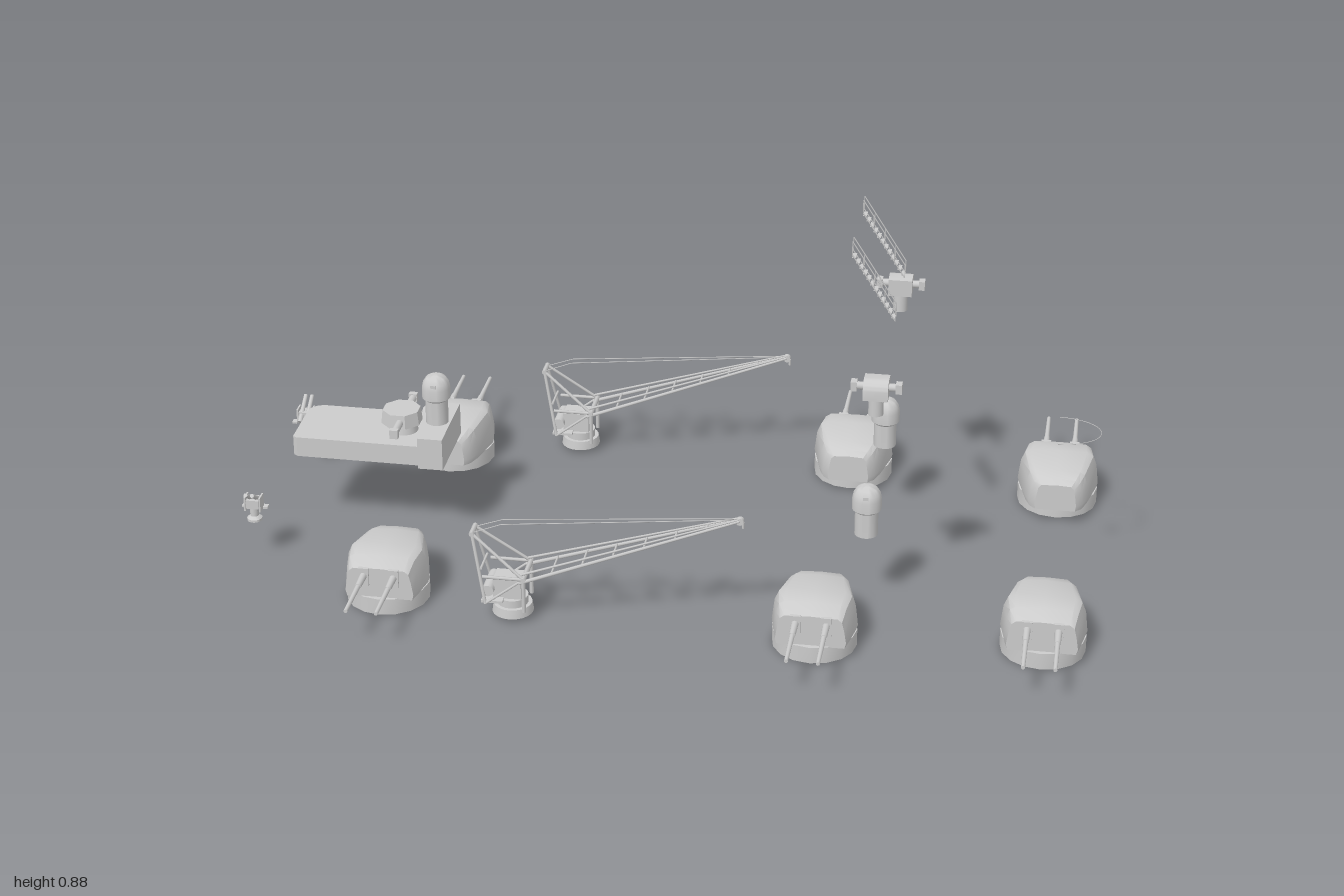
import * as THREE from 'three';
import { mergeGeometries, toCreasedNormals } from 'three/addons/utils/BufferGeometryUtils.js';

const mat = new THREE.MeshStandardMaterial({ color: 0xcccccc });
const matDouble = new THREE.MeshStandardMaterial({ color: 0xcccccc, side: THREE.DoubleSide });

function add(parent, name, geo, x = 0, y = 0, z = 0, material = mat) {
  const m = new THREE.Mesh(geo, material);
  m.name = name;
  m.position.set(x, y, z);
  parent.add(m);
  return m;
}
function group(parent, name, x, y, z) {
  const g = new THREE.Group();
  g.name = name;
  g.position.set(x, y, z);
  parent.add(g);
  return g;
}
const box = (w, h, d) => new THREE.BoxGeometry(w, h, d);
const cyl = (rt, rb, h, n = 20) => new THREE.CylinderGeometry(rt, rb, h, n);
const lathe = (pts) => toCreasedNormals(
  new THREE.LatheGeometry(pts.map(p => new THREE.Vector2(...p)), 24), 0.7);

// Round bar between two points
function rod(a, b, r, r2 = r, n = 6) {
  const A = new THREE.Vector3(...a), B = new THREE.Vector3(...b);
  const d = B.clone().sub(A);
  const g = cyl(r2, r, d.length(), n);
  g.applyQuaternion(new THREE.Quaternion().setFromUnitVectors(new THREE.Vector3(0, 1, 0), d.normalize()));
  return g.translate(...A.add(B).multiplyScalar(0.5).toArray());
}

// Skin over equal-sized rings of points ordered from back to front
function loft(rings) {
  const n = rings[0].length, index = [];
  rings.forEach((ring, i) => {
    if (!i) return;
    for (let j = 0; j < n; j++) {
      const k = (j + 1) % n, a = (i - 1) * n + j, b = (i - 1) * n + k, c = i * n + k, d = i * n + j;
      index.push(a, b, d, b, c, d);
    }
  });
  const last = (rings.length - 1) * n;
  for (let j = 1; j < n - 1; j++) index.push(0, j + 1, j, last, last + j, last + j + 1);
  const g = new THREE.BufferGeometry();
  g.setAttribute('position', new THREE.Float32BufferAttribute(rings.flat(2), 3));
  g.setIndex(index);
  return toCreasedNormals(g, 0.6);
}

// Twin gun turret, guns towards +z
function turret(parent, x, z, dir) {
  const t = group(parent, 'turret', x, 0, z);
  t.rotation.y = dir > 0 ? 0 : Math.PI;
  add(t, 'turretRing', toCreasedNormals(cyl(0.097, 0.097, 0.04, 16), 0.5), 0, 0.02, 0);
  // z, half width, roof half width, roof height
  const stations = [[-0.13, 0.05, 0.036, 0.106], [-0.115, 0.065, 0.045, 0.116], [-0.085, 0.077, 0.055, 0.125],
    [0, 0.098, 0.068, 0.134], [0.05, 0.088, 0.064, 0.131], [0.085, 0.08, 0.06, 0.114]];
  add(t, 'turretHouse', loft(stations.map(([s, w, r, h]) => {
    const half = [[w * 0.96, 0.038], [w, 0.052], [w * 0.94, h - 0.032], [(w + r) / 2, h - 0.01], [r, h - 0.002]];
    return [...half, [0, h], ...half.map(([a, b]) => [-a, b]).reverse()].map(([a, b]) => [a, b, s]);
  })));
  for (const s of [-1, 1]) {
    add(t, 'gunPort', box(0.024, 0.045, 0.02), s * 0.035, 0.092, 0.08);
    add(t, 'gunSleeve', rod([0, 0, 0], [0, 0, 0.07], 0.009, 0.007, 12), s * 0.035, 0.095, 0.07);
    add(t, 'gunBarrel', rod([0, 0, 0], [0, 0, 0.115], 0.006, 0.0045, 12), s * 0.035, 0.095, 0.135);
  }
}

// Lattice crane, boom towards +x
function crane(parent, x, z) {
  const c = group(parent, 'crane', x, 0, z);
  add(c, 'craneBase', toCreasedNormals(cyl(0.045, 0.048, 0.022, 20), 0.6), 0, 0.02, 0);
  add(c, 'craneTable', cyl(0.036, 0.036, 0.02, 20), 0, 0.04, 0);
  add(c, 'craneCab', box(0.065, 0.055, 0.05), -0.008, 0.072, 0);
  add(c, 'winchDrum', cyl(0.014, 0.014, 0.08, 14).rotateX(Math.PI / 2), -0.05, 0.075, 0);
  add(c, 'rearPlatform', box(0.05, 0.006, 0.09), -0.04, 0.05, 0);
  const frame = [], boom = [], cables = [];
  for (const s of [-1, 1]) {
    frame.push(rod([-0.088, 0.21, s * 0.018], [0.035, 0.115, s * 0.045], 0.004));
    frame.push(rod([-0.088, 0.21, s * 0.018], [-0.055, 0.045, s * 0.045], 0.004));
    frame.push(rod([0.035, 0.115, s * 0.045], [0.035, 0.03, s * 0.045], 0.005));
    frame.push(rod([-0.06, 0.115, s * 0.045], [0.035, 0.115, s * 0.045], 0.004));
    frame.push(rod([0.035, 0.115, s * 0.045], [-0.055, 0.045, s * 0.045], 0.003));
    boom.push(rod([0.025, 0.105, s * 0.045], [0.525, 0.288, s * 0.006], 0.0045, 0.003));
    boom.push(rod([0.03, 0.125, s * 0.04], [0.525, 0.292, s * 0.005], 0.003, 0.002));
    cables.push(rod([-0.088, 0.21, s * 0.015], [-0.02, 0.236, s * 0.012], 0.001));
    cables.push(rod([-0.02, 0.236, s * 0.012], [0.525, 0.29, s * 0.003], 0.001));
  }
  frame.push(rod([-0.088, 0.21, -0.024], [-0.088, 0.21, 0.024], 0.006));
  frame.push(rod([-0.065, 0.13, -0.035], [-0.065, 0.13, 0.035], 0.003));
  frame.push(rod([0.035, 0.115, -0.05], [0.035, 0.115, 0.05], 0.006));
  // Cross braces narrowing to the boom tip
  for (let i = 0; i < 7; i++) {
    const f = i / 7, w = 0.044 - 0.038 * f, X = 0.03 + 0.49 * f, Y = 0.11 + 0.18 * f;
    boom.push(rod([X, Y, -w], [X, Y, w], 0.0025));
  }
  add(c, 'aFrame', mergeGeometries(frame));
  add(c, 'boom', mergeGeometries(boom));
  add(c, 'cables', mergeGeometries(cables));
  add(c, 'tipPulley', cyl(0.009, 0.009, 0.012, 12).rotateX(Math.PI / 2), 0.525, 0.286, 0);
  add(c, 'hook', rod([0.532, 0.284, 0], [0.532, 0.268, 0], 0.003));
}

// Round column with a domed head
function domedPost(parent, x, y, z) {
  const p = group(parent, 'domedPost', x, y, z);
  add(p, 'domeColumn', lathe([[0, 0], [0.027, 0], [0.027, 0.06], [0.034, 0.066], [0.034, 0.092],
    [0.031, 0.106], [0.023, 0.118], [0.012, 0.124], [0, 0.126]]));
  add(p, 'domeHatch', box(0.012, 0.008, 0.008), 0, 0.105, z < 0 ? -0.029 : 0.029);
}

// Range finder with cross arms
function rangefinder(parent, x, y, z, dir) {
  const r = group(parent, 'rangefinder', x, y, z);
  r.rotation.y = dir > 0 ? 0 : Math.PI;
  add(r, 'finderPost', cyl(0.017, 0.017, 0.055), 0, 0.0275, 0);
  const side = new THREE.Shape();
  side.moveTo(-0.026, 0.045);
  side.lineTo(0.03, 0.045);
  side.lineTo(0.03, 0.068);
  side.quadraticCurveTo(0.026, 0.088, 0.004, 0.09);
  side.lineTo(-0.026, 0.086);
  const head = new THREE.ExtrudeGeometry(side, { depth: 0.056, bevelEnabled: false, curveSegments: 8 });
  add(r, 'finderHead', toCreasedNormals(head.translate(0, 0, -0.028).rotateY(-Math.PI / 2), 0.6));
  add(r, 'finderArm', rod([-0.056, 0.068, 0], [0.056, 0.068, 0], 0.009, 0.009, 14));
  for (const s of [-1, 1]) add(r, 'finderLens', box(0.014, 0.022, 0.022), s * 0.05, 0.068, 0);
}

// Light gun on a pedestal, barrels up and outwards
function lightGun(parent, x, z, dir) {
  const g = group(parent, 'lightGun', x, 0.1, z);
  g.rotation.y = dir > 0 ? 0 : Math.PI;
  add(g, 'gunPedestal', lathe([[0, 0], [0.018, 0], [0.018, 0.006], [0.01, 0.012], [0.01, 0.04], [0, 0.04]]));
  add(g, 'gunCradle', box(0.03, 0.022, 0.03), 0, 0.046, 0);
  for (const s of [-1, 1]) {
    add(g, 'gunShield', box(0.004, 0.036, 0.03), s * 0.018, 0.046, 0);
    add(g, 'lightBarrel', rod([s * 0.008, 0.038, -0.03], [s * 0.008, 0.082, 0.035], 0.006, 0.005, 8));
    add(g, 'gunSeat', box(0.012, 0.005, 0.016), s * 0.025, 0.03, -0.012);
  }
}

// Inclined stairway with handrails
function stairway(parent, z) {
  const parts = [], from = [0.425, 0.845], to = [0.525, 0.69], lift = 0.032;
  for (const s of [-0.0125, 0.0125]) {
    for (const h of [0, lift]) parts.push(rod([from[0], from[1] + h, s], [to[0], to[1] + h, s], 0.0014));
    for (let i = 0; i <= 4; i++) {
      const X = from[0] + 0.1 * i / 4, Y = from[1] - 0.155 * i / 4;
      parts.push(rod([X, Y, s], [X, Y + lift, s], 0.001));
    }
  }
  for (let i = 0; i < 12; i++) {
    const f = (i + 0.5) / 12;
    parts.push(box(0.009, 0.0015, 0.025).translate(from[0] + 0.1 * f, from[1] - 0.155 * f, 0));
  }
  add(parent, 'stairway', mergeGeometries(parts.map(p => p.toNonIndexed())), 0, 0, z);
}

// Deckhouse with director and domed post
function deckhouse(parent) {
  const d = group(parent, 'deckhouse', 0, 0, 0);
  const plan = new THREE.Shape();
  plan.moveTo(-0.54, -0.085);
  plan.lineTo(-0.54, 0.095);
  plan.lineTo(-0.875, 0.095);
  plan.quadraticCurveTo(-0.91, 0.09, -0.91, 0.055);
  plan.lineTo(-0.91, -0.075);
  plan.lineTo(-0.9, -0.082);
  const body = new THREE.ExtrudeGeometry(plan, { depth: 0.05, bevelEnabled: false });
  add(d, 'houseBody', toCreasedNormals(body.rotateX(-Math.PI / 2), 0.6), 0, 0.197, 0);
  add(d, 'houseBridge', box(0.06, 0.08, 0.196), -0.57, 0.236, 0);
  add(d, 'directorPedestal', cyl(0.03, 0.034, 0.03), -0.655, 0.258, 0);
  add(d, 'directorHead', toCreasedNormals(cyl(0.046, 0.05, 0.034, 8).rotateY(Math.PI / 8), 0.4), -0.66, 0.287, 0);
  add(d, 'directorArm', rod([-0.655, 0.285, -0.105], [-0.655, 0.285, 0.105], 0.009, 0.009, 12));
  for (const s of [-1, 1]) add(d, 'directorLens', box(0.02, 0.022, 0.014), -0.655, 0.285, s * 0.098);
  domedPost(d, -0.573, 0.276, 0);
}

export function createModel() {
  const model = new THREE.Group();
  model.name = 'shipFittings';
  for (const [x, zFront, zBack] of [[-0.615, 0.355, -0.355], [0.388, 0.41, -0.425], [0.9, 0.355, -0.355]]) {
    turret(model, x, zFront, 1);
    turret(model, x, zBack, -1);
  }
  for (const z of [0.393, -0.453]) crane(model, -0.312, z);
  deckhouse(model);
  for (const s of [-1, 1]) {
    domedPost(model, 0.482, 0.189, s > 0 ? 0.23 : -0.217);
    lightGun(model, -0.968, s * 0.232, s);
  }
  rangefinder(model, 0.5, 0.525, 0.287, 1);
  rangefinder(model, 0.505, 0.534, -0.252, -1);
  stairway(model, 0.136);
  stairway(model, -0.102);
  // Thin curved rail
  const arc = new THREE.EllipseCurve(0.9, 0, 0.099, 0.068, -Math.PI / 2, Math.PI / 2).getPoints(16)
    .map(p => new THREE.Vector3(p.x, 0.37, p.y));
  add(model, 'bowRail', new THREE.TubeGeometry(new THREE.CatmullRomCurve3(arc), 32, 0.0008, 5), 0, 0, 0, matDouble);
  return model;
}
